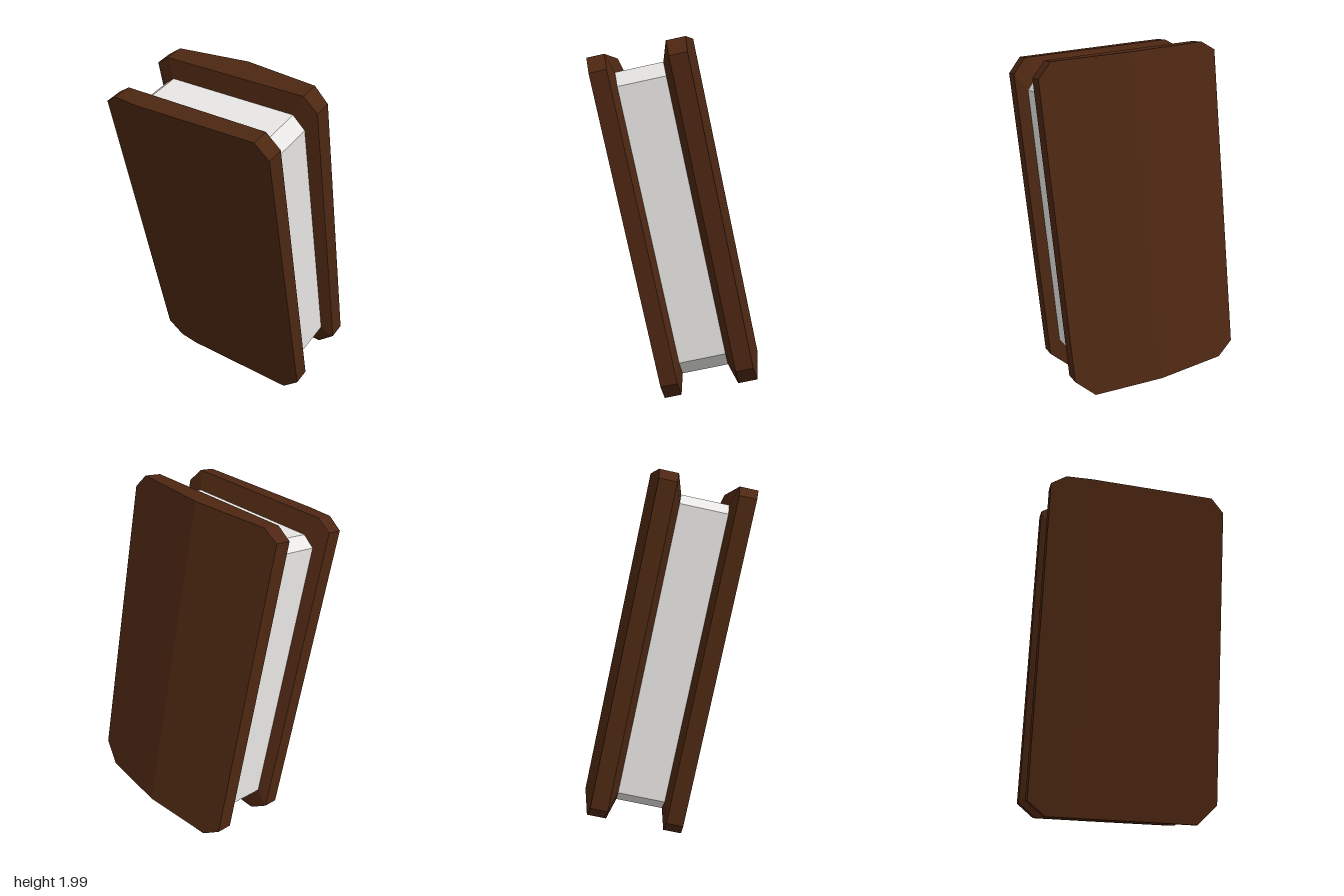
import * as THREE from 'three';

const TILT = 0.2107;

// Clipped-corner outlines as [z, y], running from front top, down the front, up the back
const OUTER = [[0.445, 0.962], [0.52, 0.88], [0.52, -0.84], [0.41, -0.952],
  [-0.42, -0.952], [-0.52, -0.875], [-0.52, 0.91], [-0.435, 0.962]];
const INNER = [[0.397, 0.86], [0.46, 0.785], [0.46, -0.75], [0.365, -0.848],
  [-0.37, -0.848], [-0.46, -0.78], [-0.46, 0.81], [-0.39, 0.86]];

// Ring of points at x(z), with an extra point on the top and bottom edge at the ridge
function ring(outline, ridgeZ, xAt) {
  const top = [ridgeZ, outline[0][1]];
  const bottom = [ridgeZ, outline[3][1]];
  return [top, ...outline.slice(0, 4), bottom, ...outline.slice(4)]
    .map(([z, y]) => new THREE.Vector3(xAt(z), y, z));
}

// Closed, flat-faceted solid through rings ordered from +x to -x
function loft(rings) {
  const points = [];
  const n = rings[0].length;
  const last = rings[rings.length - 1];
  for (let i = 1; i < n - 1; i++) {
    points.push(rings[0][0], rings[0][i], rings[0][i + 1]);
    points.push(last[0], last[i + 1], last[i]);
  }
  for (let r = 0; r < rings.length - 1; r++) {
    const a = rings[r], b = rings[r + 1];
    for (let i = 0; i < n; i++) {
      const j = (i + 1) % n;
      points.push(a[i], b[i], b[j], a[i], b[j], a[j]);
    }
  }
  const geometry = new THREE.BufferGeometry().setFromPoints(points);
  geometry.computeVertexNormals();
  return geometry;
}

export function createModel() {
  const wafer = new THREE.MeshStandardMaterial({ color: 0x4d2712 });
  wafer.name = 'chocolate brown';
  const cream = new THREE.MeshStandardMaterial({ color: 0xe7e6e4 });
  cream.name = 'cream white';

  const model = new THREE.Group();
  model.name = 'iceCreamSandwich';
  const body = new THREE.Group();
  body.name = 'tiltedSandwich';
  body.position.y = 1;
  body.rotation.z = TILT;
  model.add(body);

  const add = (name, rings, material) => {
    const mesh = new THREE.Mesh(loft(rings), material);
    mesh.name = name;
    body.add(mesh);
  };

  // Left wafer: outer face folded along its middle, bevelled towards the filling
  add('leftWafer', [
    ring(OUTER, 0, z => 0.292 - 0.106 * Math.abs(z)),
    ring(OUTER, 0, () => 0.14),
    ring(INNER, 0, () => 0.105),
  ], wafer);

  // Right wafer: shallower fold set towards the back
  const fold = -0.29;
  add('rightWafer', [
    ring(INNER, fold, () => -0.155),
    ring(OUTER, fold, () => -0.184),
    ring(OUTER, fold, z => -0.2955 + (z > fold ? 0.0216 : 0.08) * Math.abs(z - fold)),
  ], wafer);

  // Ice cream filling between the wafers
  add('filling', [
    ring(INNER, 0, () => 0.105),
    ring(INNER, 0, () => -0.155),
  ], cream);

  return model;
}
